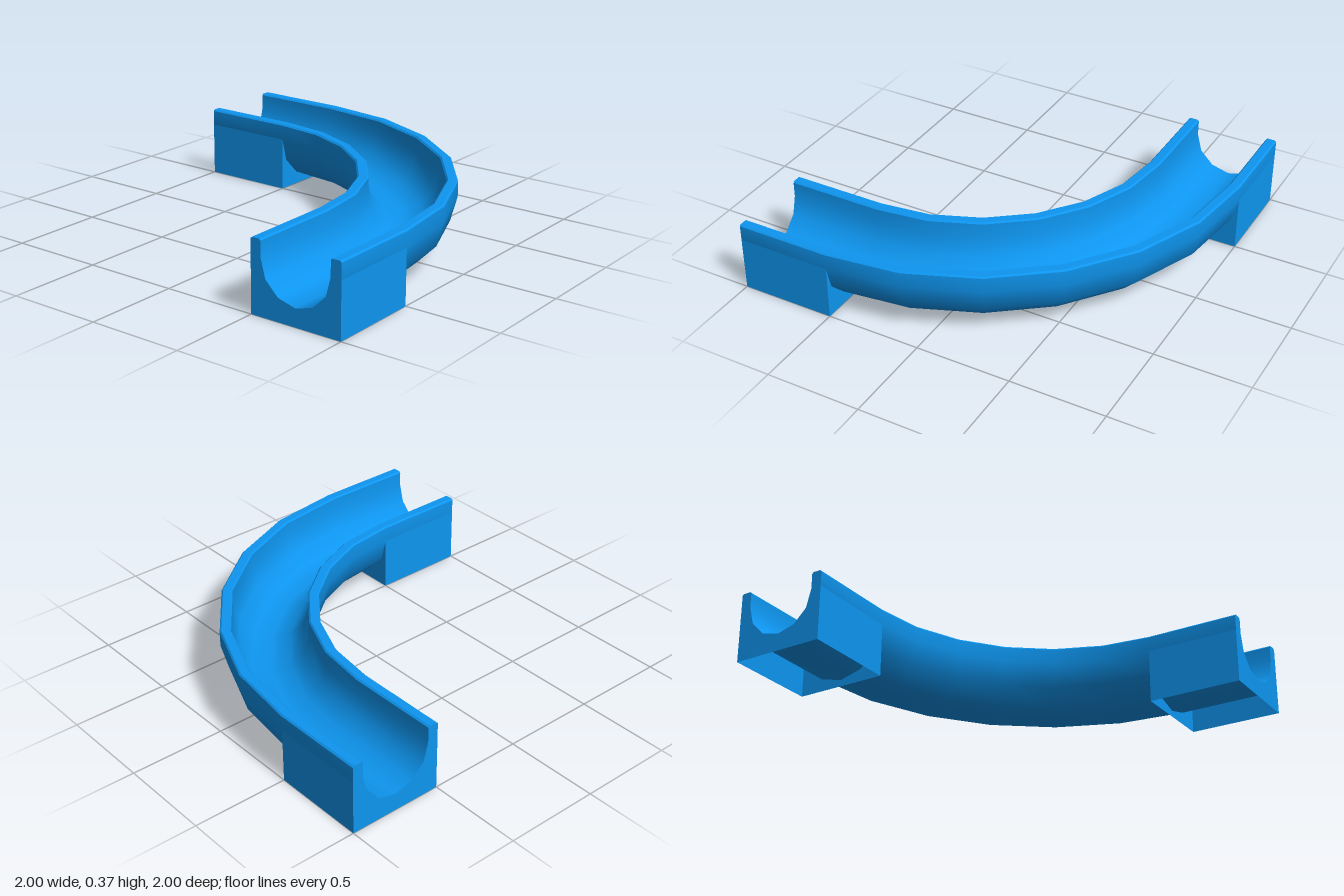
import * as THREE from 'three';
import { toCreasedNormals } from 'three/addons/utils/BufferGeometryUtils.js';

const R_OUT = 0.25, R_IN = 0.193, AXIS_Y = 0.285, TOP = 0.373, BEVEL = 0.008;
const BEND_RADIUS = 1.25, BEND_STEPS = 6, LEG = 0.5;

const material = new THREE.MeshStandardMaterial({ color: 0x0e96f0, side: THREE.DoubleSide });

// Lower half circle in six sides, from +x down and round to -x
function halfCircle(r) {
  return Array.from({ length: 7 }, (_, i) => {
    const a = (i / 6) * Math.PI;
    return new THREE.Vector2(r * Math.cos(a), AXIS_Y - r * Math.sin(a));
  });
}

const v = (x, y) => new THREE.Vector2(x, y);

// Closed U section: outer skin, bevelled rim, inner skin, bevelled rim
function channelSection() {
  const side = TOP - BEVEL;
  return [
    v(R_OUT, side), ...halfCircle(R_OUT), v(-R_OUT, side),
    v(-R_OUT + BEVEL, TOP), v(-R_IN - BEVEL, TOP),
    v(-R_IN, side), ...halfCircle(R_IN).reverse(), v(R_IN, side),
    v(R_IN + BEVEL, TOP), v(R_OUT - BEVEL, TOP),
  ];
}

// Sweep the section along a straight leg, a quarter bend and another leg
function channelGeometry() {
  const section = channelSection(), n = section.length;
  const stations = [{ a: 0, run: -LEG }];
  for (let i = 0; i <= BEND_STEPS; i++) stations.push({ a: (i / BEND_STEPS) * Math.PI / 2, run: 0 });
  stations.push({ a: Math.PI / 2, run: LEG });

  const positions = [], index = [];
  stations.forEach(({ a, run }, s) => {
    section.forEach((p, k) => {
      const r = BEND_RADIUS + p.x;
      positions.push(
        -0.5 + r * Math.sin(a) + run * Math.cos(a),
        p.y,
        0.5 - r * Math.cos(a) + run * Math.sin(a)
      );
      if (s === stations.length - 1) return;
      const p0 = s * n + k, p1 = s * n + (k + 1) % n;
      index.push(p0, p0 + n, p1, p1, p0 + n, p1 + n);
    });
  });
  const g = new THREE.BufferGeometry();
  g.setAttribute('position', new THREE.Float32BufferAttribute(positions, 3));
  g.setIndex(index);
  return toCreasedNormals(g, 0.62);
}

function addMesh(parent, name, geometry) {
  const mesh = new THREE.Mesh(geometry, material);
  mesh.name = name;
  parent.add(mesh);
  return mesh;
}

// Hollow foot under a straight leg, open below, pointing along +z
function endBlock(name) {
  const block = new THREE.Group();
  block.name = name;

  // Outer end wall with the channel cut out
  const side = TOP - BEVEL;
  const endShape = new THREE.Shape([
    v(-R_OUT, 0), v(R_OUT, 0), v(R_OUT, side), v(R_OUT - BEVEL, TOP), v(R_IN + BEVEL, TOP),
    v(R_IN, side), ...halfCircle(R_IN), v(-R_IN, side),
    v(-R_IN - BEVEL, TOP), v(-R_OUT + BEVEL, TOP), v(-R_OUT, side),
  ]);
  addMesh(block, 'endWall', new THREE.ShapeGeometry(endShape)).position.z = LEG;

  // Inner wall fitted under the channel
  const innerShape = new THREE.Shape([v(-R_OUT, 0), v(R_OUT, 0), ...halfCircle(R_OUT)]);
  addMesh(block, 'innerWall', new THREE.ShapeGeometry(innerShape)).rotation.y = Math.PI;

  // Side walls
  for (const s of [-1, 1]) {
    const wall = addMesh(block, s > 0 ? 'leftWall' : 'rightWall', new THREE.PlaneGeometry(LEG, AXIS_Y));
    wall.rotation.y = s * Math.PI / 2;
    wall.position.set(s * R_OUT, AXIS_Y / 2, LEG / 2);
  }
  return block;
}

export function createModel() {
  const model = new THREE.Group();
  model.name = 'curvedChannel';
  addMesh(model, 'channel', channelGeometry());

  const front = endBlock('frontBlock');
  front.position.set(0.75, 0, 0.5);
  const right = endBlock('rightBlock');
  right.position.set(-0.5, 0, -0.75);
  right.rotation.y = -Math.PI / 2;
  model.add(front, right);
  return model;
}
